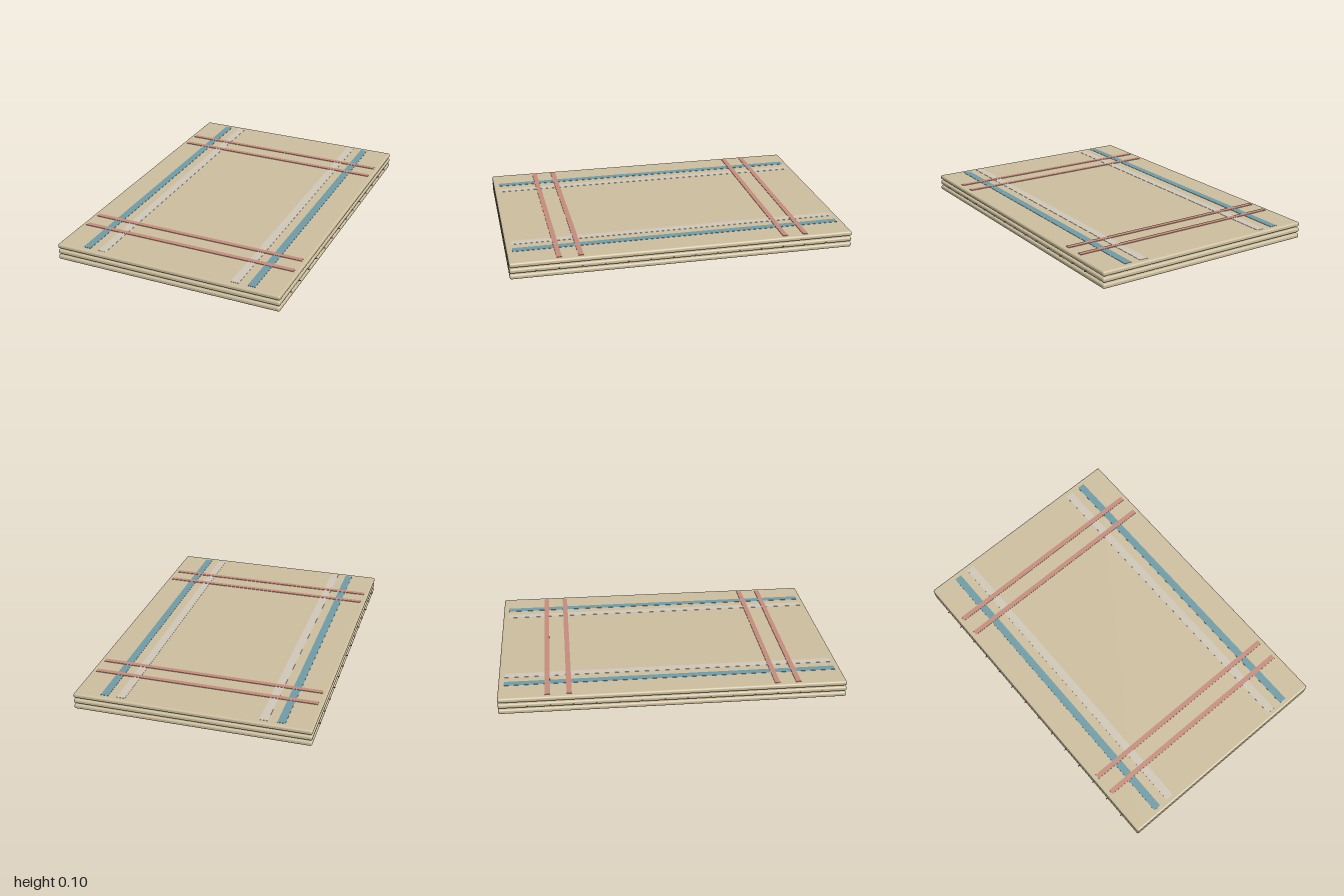
import * as THREE from 'three';
import { RoundedBoxGeometry } from 'three/addons/geometries/RoundedBoxGeometry.js';

export function createModel() {
  const group = new THREE.Group();
  const mat = (color) => new THREE.MeshStandardMaterial({ color });
  const cloth = mat(0xcdbf9f), blue = mat(0x6f9ca6), red = mat(0xc58d7d);
  const pale = mat(0xd0c8b8), thread = mat(0xb5a88a);

  const add = (name, geometry, material, x, y, z) => {
    const mesh = new THREE.Mesh(geometry, material);
    mesh.name = name;
    mesh.position.set(x, y, z);
    group.add(mesh);
    return mesh;
  };

  // Three folded layers with soft edges and a narrow gap between them
  const thickness = 0.028, pitch = 0.035;
  ['bottomLayer', 'middleLayer', 'topLayer'].forEach((name, i) =>
    add(name, new RoundedBoxGeometry(1.37, thickness, 2, 3, 0.011), cloth,
      0, thickness / 2 + i * pitch, 0));

  const top = 2 * pitch + thickness;
  for (const side of [1, -1]) {
    // Lengthwise stripes
    add('blueStripe', new THREE.BoxGeometry(0.045, 0.002, 1.935), blue, side * 0.508, top + 0.0005, 0);
    add('paleStripe', new THREE.BoxGeometry(0.048, 0.002, 1.935), pale, side * 0.41, top + 0.0003, 0);

    // Crosswise stripes lying over the lengthwise ones
    for (const z of [0.597, 0.72])
      add('redStripe', new THREE.BoxGeometry(1.315, 0.004, 0.03), red, 0, top + 0.001, side * z);

    // Short fringe threads along the sides of the middle layer
    for (let i = 0; i < 14; i++) {
      const fringe = add('fringeThread', new THREE.CylinderGeometry(0.003, 0.003, 0.024, 6), thread,
        side * 0.686, 0.046, -0.835 + i * 0.13);
      fringe.rotation.z = side * (Math.PI / 2 + 0.2);
    }
  }
  return group;
}
